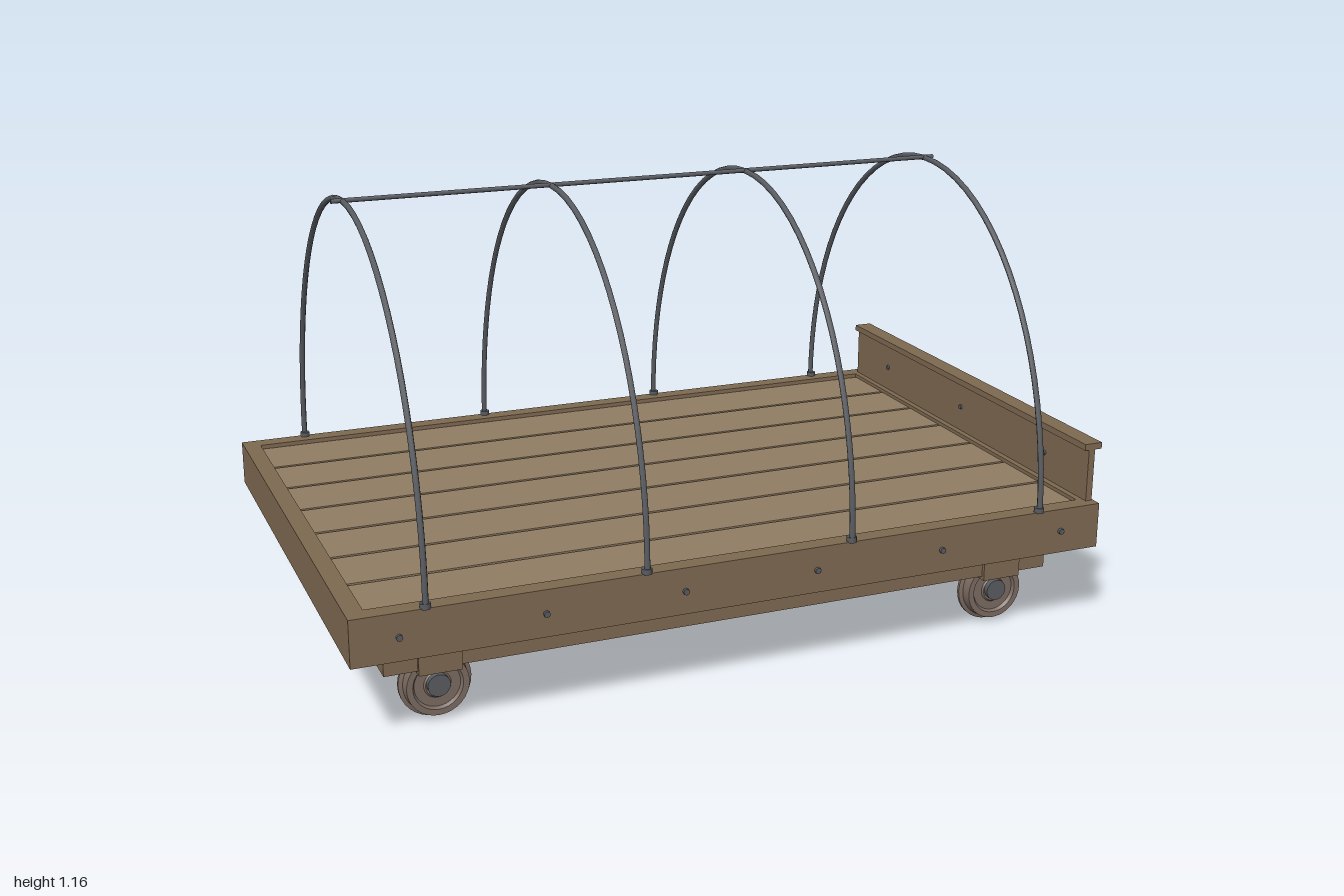
import * as THREE from 'three';

const mat = (color) => new THREE.MeshStandardMaterial({ color });
const frameWood = mat(0x7d6850);
const deckWood = mat(0x8f7c62);
const iron = mat(0x585b60);
const wheelIron = mat(0x7a6a60);

export function createModel() {
  const root = new THREE.Group();

  const add = (name, geometry, material, x = 0, y = 0, z = 0) => {
    const mesh = new THREE.Mesh(geometry, material);
    mesh.name = name;
    mesh.position.set(x, y, z);
    root.add(mesh);
    return mesh;
  };
  // Box given by its limits on each axis
  const box = (name, material, [x0, x1], [y0, y1], [z0, z1]) =>
    add(name, new THREE.BoxGeometry(x1 - x0, y1 - y0, z1 - z0), material,
      (x0 + x1) / 2, (y0 + y1) / 2, (z0 + z1) / 2);
  // Rod lying along x or z
  const rod = (name, material, axis, radius, length, x, y, z, sides = 16) => {
    const g = new THREE.CylinderGeometry(radius, radius, length, sides);
    if (axis === 'x') g.rotateZ(Math.PI / 2);
    else g.rotateX(Math.PI / 2);
    return add(name, g, material, x, y, z);
  };
  const mirrored = (s, a, b) => (s > 0 ? [a, b] : [-b, -a]);

  // Outer frame
  for (const s of [1, -1]) {
    box('sideRail', frameWood, [-1, 0.985], [0.22, 0.34], mirrored(s, 0.617, 0.663));
    for (let i = 0; i < 6; i++)
      rod('railBolt', iron, 'z', 0.008, 0.02, -0.885 + i * 0.351, 0.28, s * 0.661, 8);
  }
  box('backEndRail', frameWood, [-1, -0.955], [0.22, 0.34], [-0.617, 0.617]);
  box('headEndRail', frameWood, [0.945, 0.985], [0.22, 0.34], [-0.617, 0.617]);

  // Deck planks with narrow gaps
  const pitch = 1.234 / 7;
  for (let i = 0; i < 7; i++) {
    const z = (i - 3) * pitch;
    box('deckPlank', deckWood, [-0.955, 0.945], [0.3, 0.33], [z - pitch / 2 + 0.005, z + pitch / 2 - 0.005]);
  }

  // Joists under the deck
  for (const x of [-0.935, -0.3, 0.3, 0.922])
    box('joist', frameWood, [x - 0.023, x + 0.023], [0.221, 0.3], [-0.617, 0.617]);

  // Sills and axle blocks
  const axles = [-0.77, 0.75];
  for (const s of [1, -1]) {
    box('sill', frameWood, [-0.905, 0.885], [0.145, 0.221], mirrored(s, 0.505, 0.575));
    for (const x of axles)
      box('axleBlock', frameWood, [x - 0.053, x + 0.053], [0.136, 0.22], mirrored(s, 0.493, 0.585));
  }

  // Flanged wheel profile (radius, distance outward)
  const profile = [
    [0, -0.02], [0.09, -0.02], [0.09, -0.012], [0.08, -0.008], [0.077, 0.018],
    [0.062, 0.018], [0.057, 0.01], [0.034, 0.01], [0.03, 0.014], [0, 0.014],
  ];
  // Each profile segment is revolved apart so its edges stay sharp
  const wheelGroup = (s) => {
    const group = new THREE.Group();
    group.name = 'wheel';
    for (let i = 0; i < profile.length - 1; i++) {
      const points = [profile[i], profile[i + 1]].map(([r, h]) => new THREE.Vector2(r, h));
      const g = new THREE.LatheGeometry(points, 32);
      g.rotateX(s * Math.PI / 2);
      const mesh = new THREE.Mesh(g, wheelIron);
      mesh.name = 'wheelFace';
      group.add(mesh);
    }
    return group;
  };
  for (const x of axles) {
    rod('axle', iron, 'z', 0.018, 1.1, x, 0.094, 0);
    for (const s of [1, -1]) {
      const wheel = wheelGroup(s);
      wheel.position.set(x, 0.09, s * 0.537);
      root.add(wheel);
      rod('hubCap', iron, 'z', 0.028, 0.03, x, 0.094, s * 0.55, 20);
    }
  }

  // Headboard with cap and bolts
  box('headboard', frameWood, [0.962, 0.98], [0.34, 0.48], [-0.635, 0.635]);
  box('headboardCap', frameWood, [0.95, 1], [0.48, 0.497], [-0.635, 0.635]);
  for (const z of [-0.435, 0, 0.435])
    rod('headboardBolt', iron, 'x', 0.007, 0.028, 0.971, 0.41, z, 8);

  // Cover hoops, half ellipses standing in sockets on the rails
  const arc = [];
  for (let i = 0; i <= 32; i++) {
    const a = (i / 32) * Math.PI;
    arc.push(new THREE.Vector3(0, 0.34 + 0.81 * Math.sin(a), 0.66 * Math.cos(a)));
  }
  const hoopCurve = new THREE.CatmullRomCurve3(arc);
  const hoopGeometry = new THREE.TubeGeometry(hoopCurve, 40, 0.0075, 8);
  for (const x of [-0.82, -0.28, 0.264, 0.805]) {
    add('hoop', hoopGeometry, iron, x);
    for (const s of [1, -1])
      add('hoopSocket', new THREE.CylinderGeometry(0.013, 0.013, 0.014, 10), iron, x, 0.345, s * 0.656);
  }
  rod('ridgePole', iron, 'x', 0.006, 1.68, -0.01, 1.152, 0, 8);

  return root;
}
